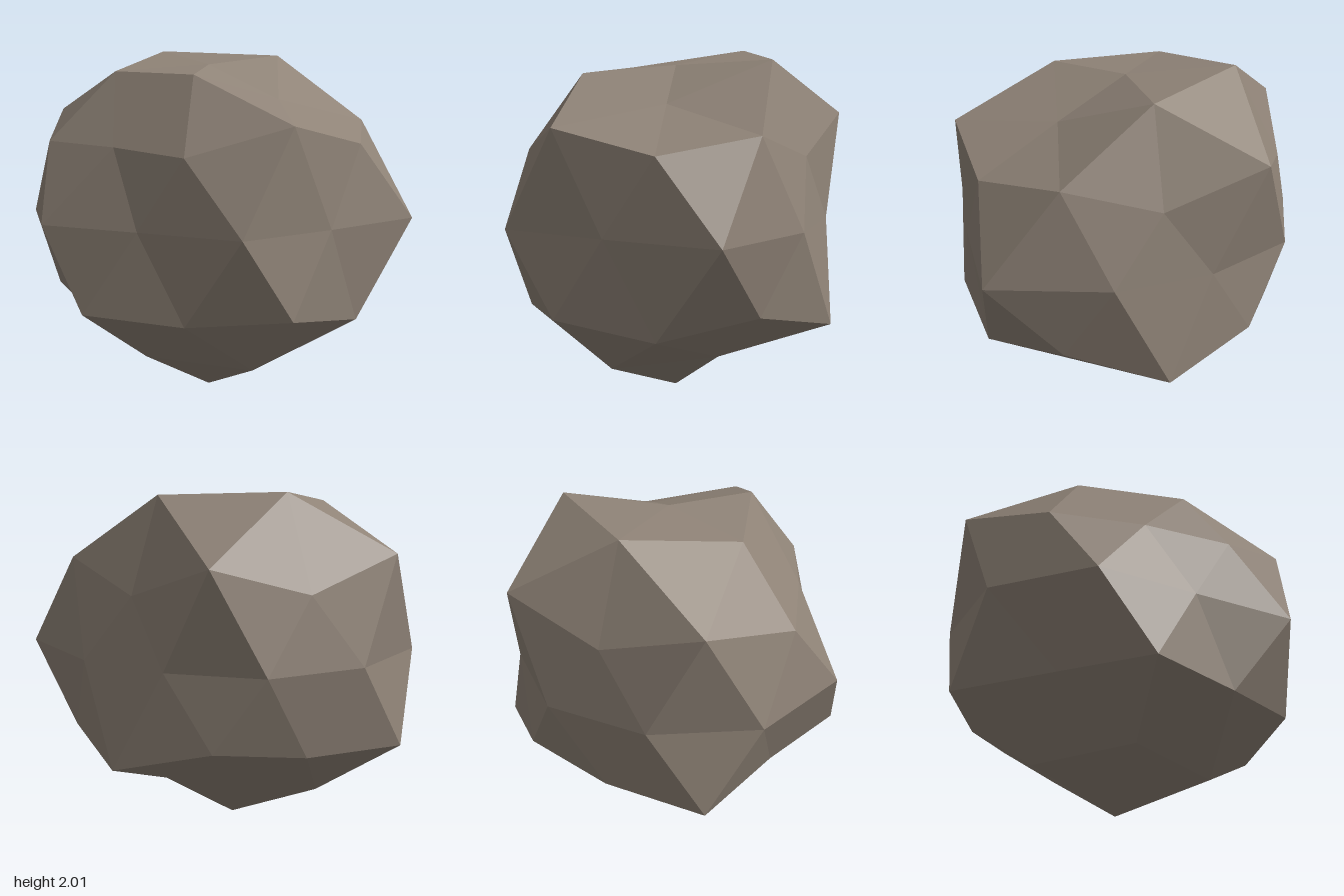
import * as THREE from 'three';

// Stone radius at each corner, ring by ring from top to bottom.
// y: height of the ring on a unit sphere, start: first longitude in degrees (x towards z).
const RINGS = [
  { y: 1, start: 0, radii: [0.937] },
  { y: 0.851, start: 0, radii: [1.155, 0.86, 1.05, 1.055, 1.185] },
  { y: 0.526, start: 36, radii: [1.105, 1.175, 0.89, 1.205, 1.19] },
  { y: 0.447, start: 0, radii: [0.915, 1.075, 0.974, 1.057, 0.99] },
  { y: 0, start: 18, radii: [0.962, 1.21, 0.955, 1.1, 0.87, 1.066, 1.075, 1.0, 0.985, 0.895] },
  { y: -0.447, start: 36, radii: [1.05, 1.12, 1.115, 1.195, 1.025] },
  { y: -0.526, start: 0, radii: [1.155, 1.115, 1.025, 0.955, 1.0] },
  { y: -0.851, start: 36, radii: [0.945, 1.045, 0.98, 1.04, 0.91] },
  { y: -1, start: 0, radii: [1.105] },
];

// Radius belonging to a direction on the unit sphere
function radiusAt(dir) {
  const ring = RINGS.reduce((a, b) => (Math.abs(b.y - dir.y) < Math.abs(a.y - dir.y) ? b : a));
  const n = ring.radii.length;
  const lon = THREE.MathUtils.radToDeg(Math.atan2(dir.z, dir.x));
  const k = Math.round((lon - ring.start) / (360 / n));
  return ring.radii[((k % n) + n) % n];
}

export function createModel() {
  const stone = new THREE.MeshStandardMaterial({ color: 0x8f8377, flatShading: true });
  stone.name = 'warm grey stone';

  // Icosphere turned so that one corner points straight up
  const geometry = new THREE.IcosahedronGeometry(1, 1);
  geometry.rotateX(-Math.atan((1 + Math.sqrt(5)) / 2));
  geometry.rotateY(Math.PI / 10);

  // Push every corner in or out, then flatten slightly
  const position = geometry.attributes.position;
  const p = new THREE.Vector3();
  for (let i = 0; i < position.count; i++) {
    p.fromBufferAttribute(position, i).normalize();
    p.multiplyScalar(radiusAt(p));
    position.setXYZ(i, p.x + 0.015, p.y * 0.95 + 1.05, p.z + 0.02);
  }
  geometry.computeVertexNormals();

  const boulder = new THREE.Mesh(geometry, stone);
  boulder.name = 'boulder';

  const model = new THREE.Group();
  model.name = 'rock';
  model.add(boulder);
  return model;
}
